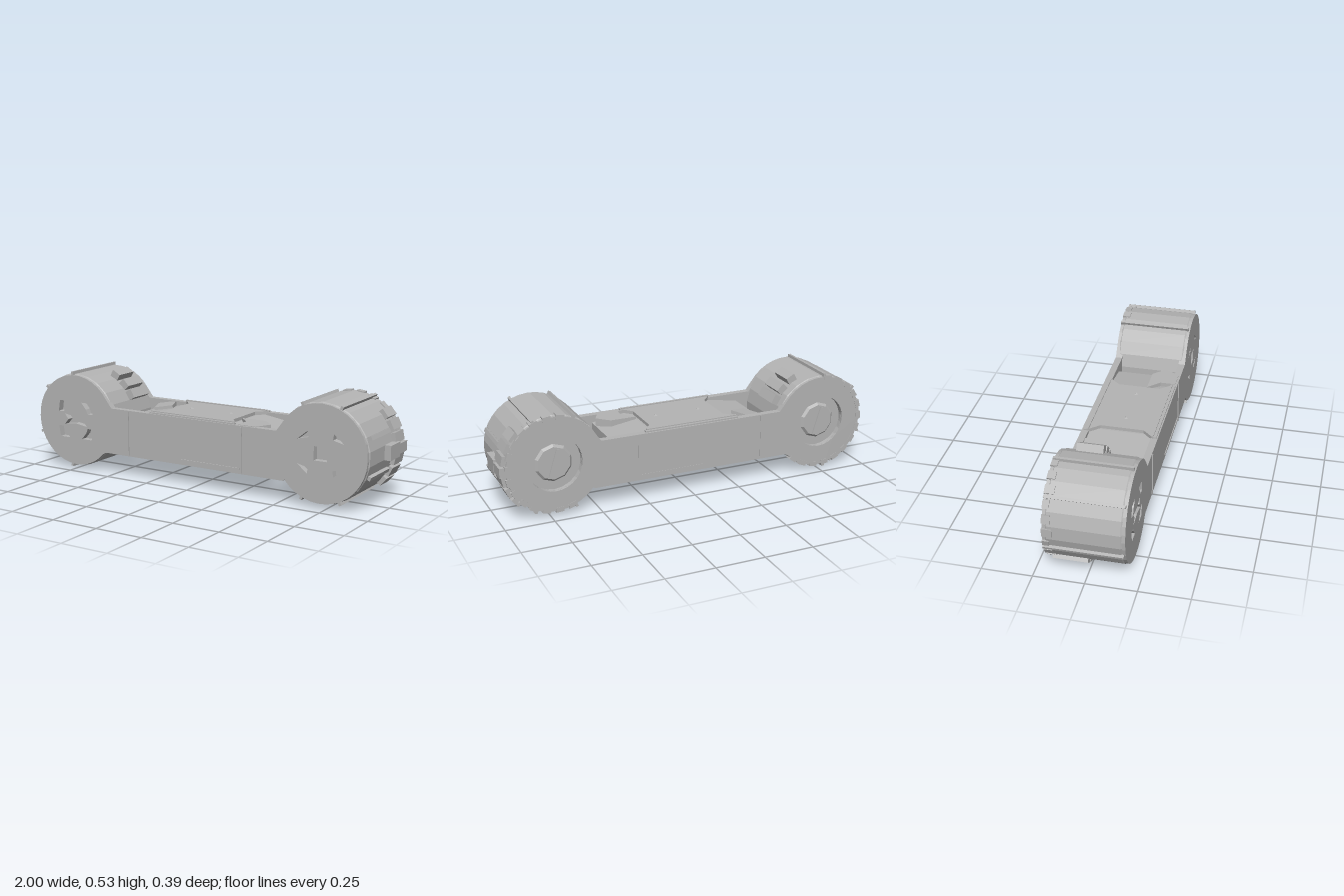
import * as THREE from 'three';

const R = 0.245;
const ENDS = [{ name: 'right', x: -0.75, y: 0.275 }, { name: 'left', x: 0.72, y: 0.28 }];

export function createModel() {
  const model = new THREE.Group();
  const metal = new THREE.MeshStandardMaterial({ color: 0xb4b4b4, flatShading: true, side: THREE.DoubleSide });
  metal.name = 'grey metal';

  const add = (name, geometry, parent = model) => {
    const mesh = new THREE.Mesh(geometry, metal);
    mesh.name = name;
    parent.add(mesh);
    return mesh;
  };
  const box = (name, w, h, d, x, y, z, parent = model) => {
    const mesh = add(name, new THREE.BoxGeometry(w, h, d), parent);
    mesh.position.set(x, y, z);
    return mesh;
  };
  const polygon = (pts) => new THREE.Shape(pts.map(([x, y]) => new THREE.Vector2(x, y)));
  const extrude = (shape, depth, z) =>
    new THREE.ExtrudeGeometry(shape, { depth, bevelEnabled: false, curveSegments: 14 }).translate(0, 0, z);
  const at = (e, pts) => polygon(pts.map(([x, y]) => [e.x + x, e.y + y]));
  const circle = (e, r) => new THREE.Path().absarc(e.x, e.y, r, 0, Math.PI * 2, true);

  // Side plates: two discs joined by a straight neck
  const plateShape = () => {
    const [a, b] = ENDS;
    const s = new THREE.Shape();
    s.moveTo(-0.55, 0.12);
    s.lineTo(0.52, 0.12);
    s.absarc(b.x, b.y, R, -2.47, 2.4, false);
    s.lineTo(0.48, 0.365);
    s.lineTo(-0.51, 0.365);
    s.absarc(a.x, a.y, R, 0.75, 5.55, false);
    return s;
  };

  const front = plateShape();
  // Square hub hole and four triangular lightening holes on the left disc
  front.holes.push(at(ENDS[1], [[-0.035, -0.035], [-0.035, 0.035], [0.035, 0.035], [0.035, -0.035]]));
  for (const sx of [-1, 1]) for (const sy of [-1, 1]) {
    front.holes.push(at(ENDS[1], [[sx * 0.125, sy * 0.06], [sx * 0.07, sy * 0.105], [sx * 0.065, sy * 0.075]]));
    // Four bracket-shaped holes on the right disc
    front.holes.push(at(ENDS[0], [[sx * 0.04, sy * 0.1], [sx * 0.105, sy * 0.1],
      [sx * 0.115, sy * 0.04], [sx * 0.08, sy * 0.04], [sx * 0.07, sy * 0.065]]));
  }
  front.holes.push(at(ENDS[0], [[-0.075, -0.03], [-0.05, 0], [-0.075, 0.03], [0, 0.018],
    [0.075, 0.03], [0.05, 0], [0.075, -0.03], [0, -0.018]]));
  add('frontPlate', extrude(front, 0.035, 0.157));

  const back = plateShape();
  ENDS.forEach((e) => back.holes.push(circle(e, 0.14)));
  add('backPlate', extrude(back, 0.035, -0.195));

  // Drums with axis-parallel ribs
  ENDS.forEach((e, i) => {
    const drum = new THREE.Group();
    drum.name = e.name + 'Drum';
    drum.position.set(e.x, e.y, 0);
    model.add(drum);
    const profile = [[0, -0.165], [0.06, -0.165], [0.14, -0.165], [0.14, -0.186], [0.238, -0.186], [0.25, -0.175],
      [0.25, 0.17], [0.238, 0.186], [0.2, 0.186], [0.2, 0.15], [0, 0.15]];
    const body = new THREE.LatheGeometry(profile.map(([r, z]) => new THREE.Vector2(r, z)), 22);
    add('drumBody', body.rotateX(Math.PI / 2), drum);
    const cap = add('hubCap', new THREE.CylinderGeometry(0.085, 0.1, 0.015, 10).rotateX(-Math.PI / 2), drum);
    cap.position.z = -0.17;
    // Slot across the hub
    box('hubBar', 0.018, 0.15, 0.012, 0, 0, -0.179, drum).rotation.z = 0.3;

    const rib = (name, deg, r, thick, width, z0, z1) => {
      const t = THREE.MathUtils.degToRad(deg);
      const m = box(name, thick, width, z1 - z0, Math.cos(t) * r, Math.sin(t) * r, (z0 + z1) / 2, drum);
      m.rotation.z = t;
      return m;
    };
    const ribAngles = i ? [66, 114, 246, 294] : [95, 140, 200, 262];
    ribAngles.forEach((a) => rib('rib', a, 0.252, 0.022, 0.014, -0.195, 0.185));
    if (i) {
      // Outer tread: centre block and flared side ribs
      rib('treadBlock', 0, 0.262, 0.036, 0.075, -0.105, 0.005);
      for (const a of [22, -22]) rib('treadRib', a, 0.25, 0.03, 0.02, -0.06, 0.155);
      for (const a of [-40, -26, -12, 12, 26, 40]) rib('treadTooth', a, 0.252, 0.035, 0.05, -0.185, -0.085);
      rib('treadTooth', 0, 0.26, 0.036, 0.05, -0.195, -0.1);
    } else {
      // Broken teeth in two opposite clusters
      for (const a of [30, 44, 60]) rib('upperTooth', a, 0.262, 0.045, 0.05, -0.15 + a * 0.0005, 0.01);
      for (const a of [232, 245, 258]) rib('lowerTooth', a, 0.252, 0.03, 0.045, -0.17, 0);
    }
    // Uneven rim teeth along the back edge
    for (let k = 0; k < 14; k++) {
      const a = (i ? -110 : 100) + k * 16;
      rib('rimTooth', a, 0.24, 0.026, 0.042, -0.197, -0.165 + (k % 3) * 0.008);
    }
  });

  // Beam core between the plates, with ends cut away under the drums
  add('beamCore', extrude(polygon([[-0.34, 0.125], [0.31, 0.125], [0.4, 0.25], [0.4, 0.325],
    [0.2, 0.355], [-0.23, 0.355], [-0.43, 0.325], [-0.43, 0.25]]), 0.34, -0.17));

  // Raised deck with clipped notches at both ends
  const deck = polygon([[-0.22, -0.11], [-0.27, -0.165], [-0.27, -0.185], [0.24, -0.185], [0.24, -0.165], [0.19, -0.11],
    [0.19, 0.04], [0.19, 0.11], [0.24, 0.165], [0.24, 0.185], [-0.27, 0.185], [-0.27, 0.165], [-0.22, 0.11]]);
  const deckGeometry = new THREE.ExtrudeGeometry(deck, { depth: 0.018, bevelEnabled: false });
  add('deck', deckGeometry.rotateX(-Math.PI / 2).translate(0, 0.354, 0));

  // Small deck pins, edge rails and raised end plates
  for (const x of [-0.13, 0.11]) {
    const pin = add('deckPin', new THREE.ConeGeometry(0.014, 0.012, 3));
    pin.position.set(x, 0.376, 0);
  }
  for (const z of [-0.165, 0.165]) box('deckRail', 0.5, 0.006, 0.01, -0.02, 0.374, z);
  const endPlate = polygon([[0.2, -0.04], [0.26, -0.1], [0.26, -0.18], [0.36, -0.18], [0.4, -0.1], [0.34, -0.04]]);
  add('endPlate', new THREE.ExtrudeGeometry(endPlate, { depth: 0.04, bevelEnabled: false })
    .rotateX(-Math.PI / 2).translate(0, 0.328, 0));
  const wedge = box('endWedge', 0.1, 0.03, 0.12, -0.36, 0.34, -0.1);
  wedge.rotation.set(0, 0.4, 0.15);

  // Panel seams and underside strips
  for (const s of [-1, 1]) {
    for (const x of [-0.4, 0.285]) box('panelSeam', 0.006, 0.235, 0.006, x, 0.242, s * 0.194);
    box('lowerTrim', 0.35, 0.01, 0.006, 0.1, 0.145, s * 0.194);
    box('undersideStrip', 0.5, 0.008, 0.03, -0.02, 0.121, s * 0.13);
  }
  return model;
}
